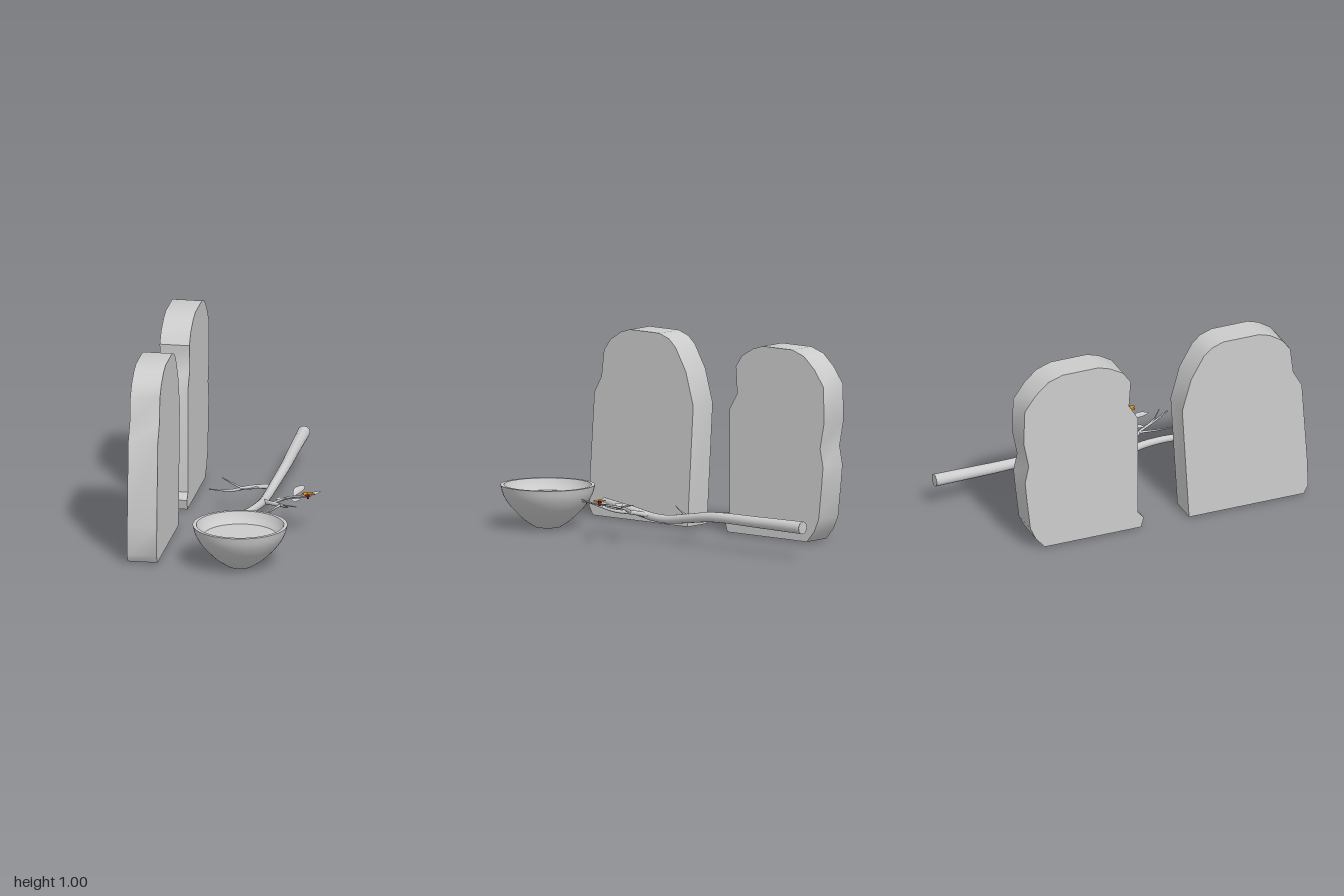
import * as THREE from 'three';
import { toCreasedNormals } from 'three/addons/utils/BufferGeometryUtils.js';

const grey = new THREE.MeshStandardMaterial({ color: 0xcccccc });
const thin = new THREE.MeshStandardMaterial({ color: 0xcccccc, side: THREE.DoubleSide });
const gold = new THREE.MeshStandardMaterial({ color: 0xc98a1a, side: THREE.DoubleSide });
const red = new THREE.MeshStandardMaterial({ color: 0xb01818 });
const green = new THREE.MeshStandardMaterial({ color: 0x4c6a28, side: THREE.DoubleSide });

function add(parent, name, geometry, material = grey) {
  const mesh = new THREE.Mesh(geometry, material);
  mesh.name = name;
  parent.add(mesh);
  return mesh;
}

// Upright slab: outline given as [z, y], extruded along x
function slab(parent, name, outline) {
  const shape = new THREE.Shape(outline.map(([z, y]) => new THREE.Vector2(z, y)));
  const geo = new THREE.ExtrudeGeometry(shape, { depth: 0.155, bevelEnabled: false });
  geo.rotateY(-Math.PI / 2).translate(-0.29, 0, 0);
  add(parent, name, toCreasedNormals(geo, 0.65));
}

// Tapering round stem along points [x, y, z], closed with a disc at each end
function stem(parent, name, points, r0, r1, sides = 8) {
  const group = new THREE.Group();
  group.name = name;
  parent.add(group);
  const curve = new THREE.CatmullRomCurve3(points.map((p) => new THREE.Vector3(...p)));
  const steps = points.length * 6;
  const geo = new THREE.TubeGeometry(curve, steps, 1, sides);
  const pos = geo.attributes.position;
  const v = new THREE.Vector3();
  for (let i = 0; i <= steps; i++) {
    const centre = curve.getPointAt(i / steps);
    const r = THREE.MathUtils.lerp(r0, r1, i / steps);
    for (let j = 0; j <= sides; j++) {
      const k = i * (sides + 1) + j;
      v.fromBufferAttribute(pos, k).sub(centre).multiplyScalar(r).add(centre);
      pos.setXYZ(k, v.x, v.y, v.z);
    }
  }
  geo.computeVertexNormals();
  add(group, name + 'Bark', geo);
  for (const [t, r, sign] of [[0, r0, -1], [1, r1, 1]]) {
    const cap = add(group, name + 'End', new THREE.CircleGeometry(r, sides));
    cap.position.copy(curve.getPointAt(t));
    cap.quaternion.setFromUnitVectors(new THREE.Vector3(0, 0, 1), curve.getTangentAt(t).multiplyScalar(sign));
  }
}

// Thin cupped blade running from base to tip, used for leaves and petals
function blade(parent, name, base, tip, width, material = thin) {
  const a = new THREE.Vector3(...base);
  const dir = new THREE.Vector3(...tip).sub(a);
  const side = new THREE.Vector3().crossVectors(dir, new THREE.Vector3(0, 1, 0)).normalize();
  const geo = new THREE.PlaneGeometry(1, 1, 4, 8);
  const pos = geo.attributes.position;
  for (let i = 0; i < pos.count; i++) {
    const u = pos.getX(i), t = pos.getY(i) + 0.5;
    const half = width * Math.sin(Math.PI * Math.pow(t, 1.25));
    const p = a.clone().addScaledVector(dir, t).addScaledVector(side, u * half);
    p.y += Math.abs(u) * half * 0.25;
    pos.setXYZ(i, p.x, p.y, p.z);
  }
  geo.computeVertexNormals();
  add(parent, name, geo, material);
}

export function createModel() {
  const model = new THREE.Group();

  // Two rough round-topped slabs
  slab(model, 'frontSlab', [
    [0.168, 0.007], [0.81, 0.007], [0.835, 0.05], [0.83, 0.21], [0.8, 0.65], [0.752, 0.735],
    [0.735, 0.875], [0.69, 0.935], [0.62, 0.98], [0.56, 0.998], [0.36, 0.998], [0.295, 0.975],
    [0.25, 0.935], [0.18, 0.815], [0.13, 0.64],
  ]);
  slab(model, 'backSlab', [
    [-0.1, 0.007], [-0.085, 0.06], [-0.117, 0.095], [-0.117, 0.65], [-0.168, 0.735], [-0.158, 0.875],
    [-0.2, 0.935], [-0.275, 0.978], [-0.34, 0.998], [-0.54, 0.998], [-0.62, 0.972], [-0.69, 0.91],
    [-0.752, 0.825], [-0.758, 0.64], [-0.73, 0.5], [-0.75, 0.405], [-0.74, 0.3], [-0.72, 0.13],
    [-0.69, 0.065], [-0.64, 0.007],
  ]);

  // Bowl: outer curve, rim, inner wall and flat filled surface
  const outer = new THREE.SplineCurve([
    [0.065, 0], [0.115, 0.033], [0.158, 0.072], [0.2, 0.118], [0.231, 0.17], [0.245, 0.22],
  ].map((p) => new THREE.Vector2(...p))).getPoints(20);
  const inner = [[0.226, 0.22], [0.218, 0.2], [0.205, 0.18], [0.188, 0.162]];
  const profile = [new THREE.Vector2(0, 0), ...outer, ...inner.map((p) => new THREE.Vector2(...p)), new THREE.Vector2(0, 0.162)];
  const bowl = add(model, 'bowl', toCreasedNormals(new THREE.LatheGeometry(profile, 48), 0.6));
  bowl.position.set(0.133, 0, 0.755);

  // Main branch lying front to back
  stem(model, 'branch', [
    [0.164, 0.166, -1], [0.165, 0.166, -0.7], [0.167, 0.164, -0.4], [0.15, 0.138, -0.21], [0.136, 0.117, -0.06],
    [0.131, 0.12, 0.05], [0.134, 0.14, 0.16], [0.12, 0.155, 0.29], [0.083, 0.162, 0.415],
  ], 0.033, 0.017, 14);

  // Bare twigs on the right side
  stem(model, 'rightTwig', [[0.14, 0.13, -0.18], [0.03, 0.133, -0.14], [-0.065, 0.118, -0.113], [-0.18, 0.116, -0.12]], 0.014, 0.003);
  stem(model, 'rightSideTwig', [[-0.01, 0.128, -0.13], [-0.075, 0.136, -0.185], [-0.133, 0.14, -0.25]], 0.007, 0.002);
  stem(model, 'rightSideTwig', [[0.07, 0.132, -0.15], [0.038, 0.146, -0.07], [0, 0.165, 0]], 0.006, 0.002);

  // Twigs on the left side, one of them flowering
  stem(model, 'leftTwig', [[0.133, 0.125, 0.06], [0.19, 0.14, 0.13], [0.255, 0.15, 0.19], [0.285, 0.172, 0.28], [0.315, 0.2, 0.37]], 0.014, 0.003);
  stem(model, 'leftSideTwig', [[0.245, 0.15, 0.18], [0.22, 0.155, 0.29], [0.208, 0.165, 0.4]], 0.007, 0.002);
  stem(model, 'leftSideTwig', [[0.265, 0.155, 0.22], [0.29, 0.18, 0.28], [0.355, 0.195, 0.34]], 0.006, 0.002);
  stem(model, 'flowerTwig', [[0.2, 0.142, 0.14], [0.25, 0.165, 0.13], [0.32, 0.185, 0.135], [0.365, 0.195, 0.165], [0.39, 0.205, 0.183]], 0.009, 0.004);

  // Leaves
  [
    [[0.3, 0.175, 0.12], [0.335, 0.205, 0], 0.055],
    [[0.335, 0.185, 0.16], [0.335, 0.2, 0.275], 0.05],
    [[0.28, 0.175, 0.135], [0.225, 0.185, 0.205], 0.04],
    [[0.375, 0.19, 0.17], [0.445, 0.213, 0.11], 0.036],
  ].forEach(([base, tip, width]) => blade(model, 'leaf', base, tip, width));

  // Small five-petalled flower with sepals and a bud-like base
  const flower = new THREE.Group();
  flower.name = 'flower';
  flower.position.set(0.39, 0.21, 0.185);
  model.add(flower);
  for (let i = 0; i < 5; i++) {
    const a = (i / 5) * Math.PI * 2, c = Math.cos(a), s = Math.sin(a);
    blade(flower, 'petal', [c * 0.004, 0, s * 0.004], [c * 0.038, 0.009, s * 0.038], 0.029, gold);
    const b = a + Math.PI / 5;
    blade(flower, 'sepal', [0, -0.005, 0], [Math.cos(b) * 0.022, 0.001, Math.sin(b) * 0.022], 0.01, green);
  }
  add(flower, 'flowerCentre', new THREE.SphereGeometry(0.008, 12, 8), red).position.y = 0.002;
  add(flower, 'flowerBase', new THREE.CylinderGeometry(0.008, 0.004, 0.016, 10), red).position.y = -0.011;

  return model;
}
